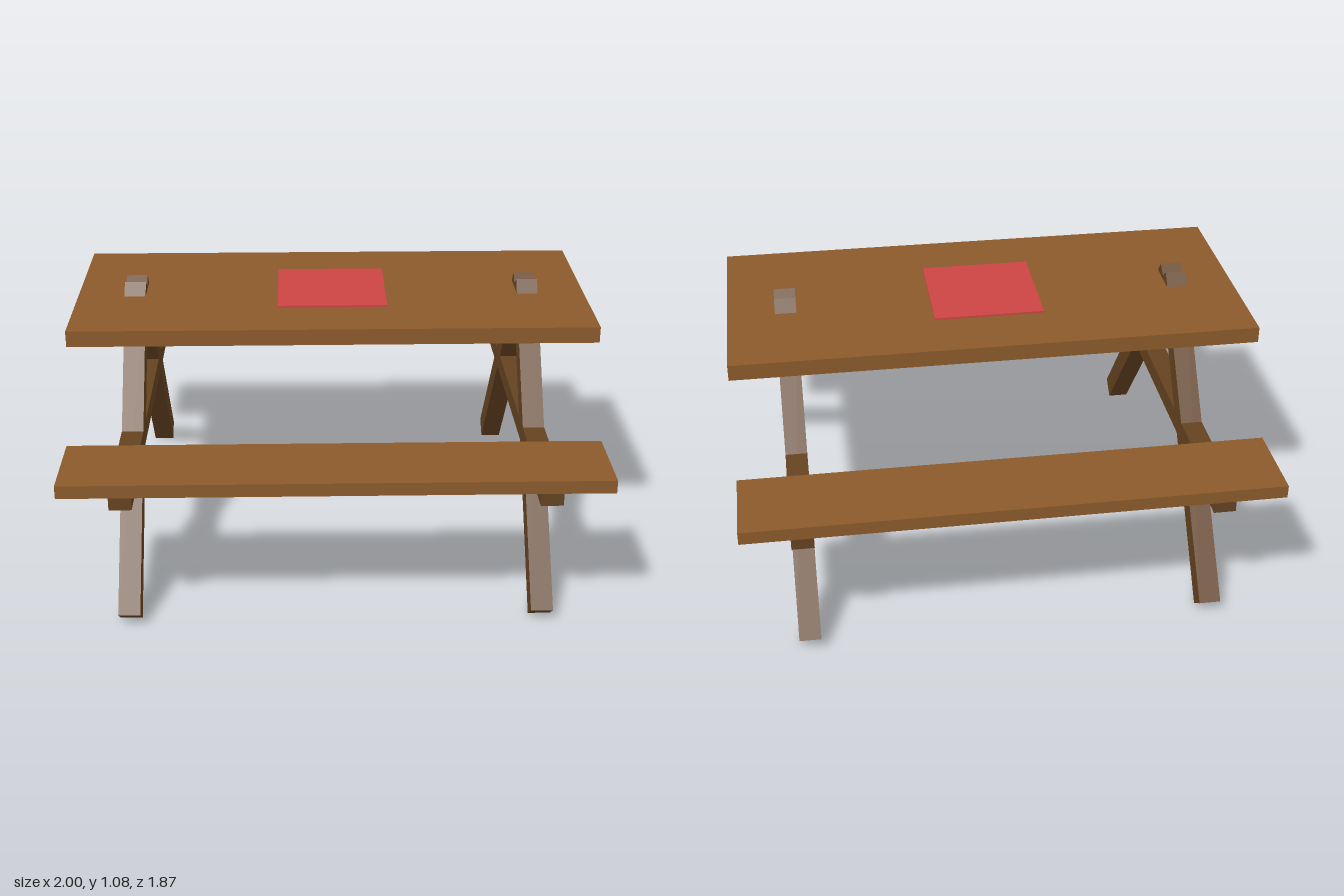
import * as THREE from 'three';

export function createModel() {
  const model = new THREE.Group();
  model.name = 'picnicTable';

  const plankWood = new THREE.MeshStandardMaterial({ color: 0x8b5a2b });
  const frameWood = new THREE.MeshStandardMaterial({ color: 0x654321 });
  const cloth = new THREE.MeshStandardMaterial({ color: 0xcc4444 });

  const addBox = (parent, name, material, size, position, tilt = 0) => {
    const mesh = new THREE.Mesh(new THREE.BoxGeometry(...size), material);
    mesh.name = name;
    mesh.position.set(...position);
    mesh.rotation.x = tilt;
    parent.add(mesh);
  };

  // Table top with a square cloth in the middle
  addBox(model, 'tableTop', plankWood, [2, 0.062, 0.894], [0, 1.008, 0]);
  addBox(model, 'cloth', cloth, [0.425, 0.008, 0.425], [0, 1.042, 0]);

  // Bench seats at the front and back
  for (const side of [1, -1]) {
    const name = side > 0 ? 'frontBench' : 'backBench';
    addBox(model, name, plankWood, [2, 0.05, 0.325], [0, 0.622, side * 0.774]);
  }

  // A-frames: two crossing legs and a beam that carries the benches
  for (const end of [1, -1]) {
    const frame = new THREE.Group();
    frame.name = end > 0 ? 'leftFrame' : 'rightFrame';
    frame.position.x = end * 0.776;
    for (const side of [1, -1]) {
      const name = side > 0 ? 'frontLeg' : 'backLeg';
      addBox(frame, name, frameWood, [0.083, 1.311, 0.086], [0, 0.543, side * 0.411], -side * 0.665);
    }
    addBox(frame, 'crossBeam', frameWood, [0.083, 0.075, 1.82], [0, 0.572, 0]);
    model.add(frame);
  }

  return model;
}
